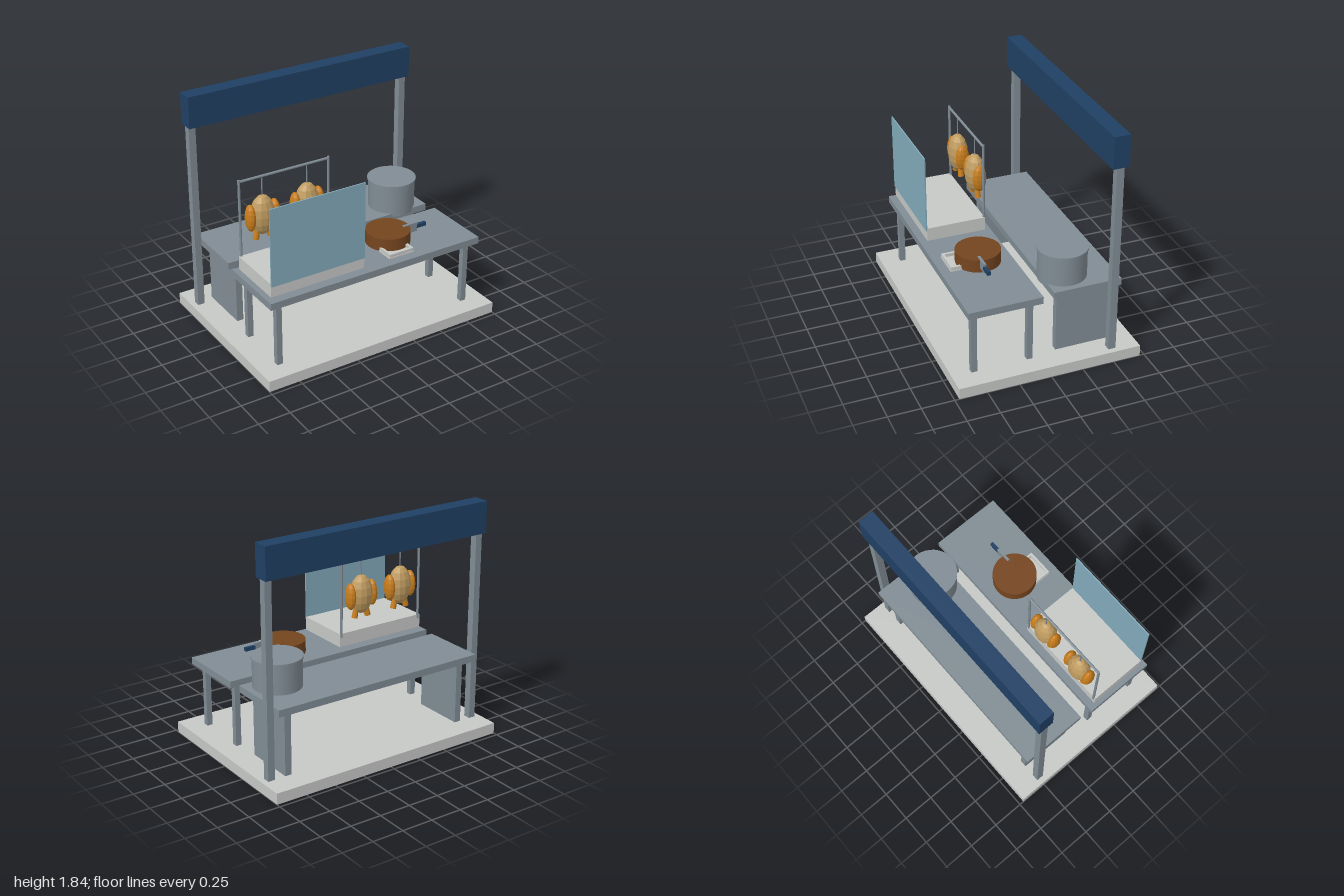
import * as THREE from 'three';

const mat = (name, color, flatShading = false) => {
  const m = new THREE.MeshStandardMaterial({ color, flatShading });
  m.name = name;
  return m;
};

export function createModel() {
  const stone = mat('pale stone', 0xc6c8c6);
  const steel = mat('grey steel', 0x808c94);
  const navy = mat('navy', 0x204064);
  const glass = mat('blue glass', 0x82aaba);
  const wood = mat('brown wood', 0x75451f);
  const skin = mat('roast tan', 0xc09c60, true);
  const glaze = mat('glazed orange', 0xc87d1c, true);

  const root = new THREE.Group();
  root.name = 'foodStall';

  const add = (parent, name, geometry, material, x, y, z) => {
    const mesh = new THREE.Mesh(geometry, material);
    mesh.name = name;
    mesh.position.set(x, y, z);
    parent.add(mesh);
    return mesh;
  };
  // Box given by its minimum and maximum on each axis
  const box = (name, material, [x0, x1], [y0, y1], [z0, z1], parent = root) =>
    add(parent, name, new THREE.BoxGeometry(x1 - x0, y1 - y0, z1 - z0), material,
      (x0 + x1) / 2, (y0 + y1) / 2, (z0 + z1) / 2);
  // Upright cylinder between two heights
  const drum = (name, material, r, y0, y1, x, z, sides = 32, parent = root) =>
    add(parent, name, new THREE.CylinderGeometry(r, r, y1 - y0, sides), material, x, (y0 + y1) / 2, z);
  const mirrored = (x0, x1, s) => (s > 0 ? [x0, x1] : [-x1, -x0]);

  // Floor, sign and the two tables
  box('floorSlab', stone, [-1, 1], [0, 0.087], [-0.715, 0.715]);
  box('signBoard', navy, [-0.965, 0.965], [1.595, 1.842], [-0.565, -0.44]);
  box('frontTableTop', steel, [-0.912, 0.912], [0.59, 0.645], [0.036, 0.606]);
  box('backTableTop', steel, [-0.892, 0.892], [0.59, 0.645], [-0.588, -0.057]);
  for (const s of [-1, 1]) {
    box('signPost', steel, mirrored(0.9, 0.955, s), [0.087, 1.6], [-0.533, -0.475]);
    box('backTablePanel', steel, mirrored(0.757, 0.81, s), [0.087, 0.59], [-0.53, -0.11]);
    for (const z of [0.11, 0.542]) {
      box('frontTableLeg', steel, mirrored(0.802, 0.847, s), [0.087, 0.59], [z - 0.0225, z + 0.0225]);
    }
  }

  // Display tray with its glass screen
  box('displayTray', stone, [-0.88, -0.1], [0.663, 0.77], [0.09, 0.556]);
  box('glassScreen', glass, [-0.88, -0.1], [0.748, 1.36], [0.554, 0.564]);

  // Hanging rack
  const rackZ = 0.092;
  for (const x of [-0.86, -0.117]) drum('rackPost', steel, 0.01, 0.74, 1.38, x, rackZ, 12);
  const rail = drum('rackRail', steel, 0.01, 0, 0.745, -0.488, rackZ, 12);
  rail.rotation.z = Math.PI / 2;
  rail.position.y = 1.366;

  // Roast birds on hooks
  const ball = new THREE.SphereGeometry(1, 12, 8);
  for (const x of [-0.675, -0.302]) {
    const bird = new THREE.Group();
    bird.name = 'roastBird';
    bird.position.set(x, 1.06, rackZ);
    root.add(bird);
    drum('hook', steel, 0.005, 0.14, 0.306, 0, 0, 8, bird);
    add(bird, 'body', ball, skin, 0, 0, 0).scale.set(0.096, 0.157, 0.078);
    for (const s of [-1, 1]) {
      add(bird, 'wing', ball, glaze, s * 0.1, -0.005, 0).scale.set(0.038, 0.107, 0.056);
      const leg = add(bird, 'drumstick', new THREE.CylinderGeometry(0.02, 0.025, 0.1, 10), glaze,
        s * 0.052, -0.135, 0);
      leg.rotation.z = s * 0.2;
    }
  }

  // Stock pot with lid
  drum('stockPot', steel, 0.184, 0.62, 0.872, 0.664, -0.215);
  drum('potLid', steel, 0.193, 0.87, 0.884, 0.664, -0.215);

  // Chopping block and cleaver
  drum('choppingBlock', wood, 0.172, 0.653, 0.755, 0.285, 0.295);
  box('cleaverBlade', steel, [0.4, 0.525], [0.69, 0.763], [0.321, 0.341]);
  box('cleaverHandle', navy, [0.52, 0.605], [0.715, 0.744], [0.318, 0.344]);

  // Small serving dish with a raised rim
  box('dishBase', stone, [0.14, 0.36], [0.648, 0.658], [0.39, 0.535]);
  for (const x of [0.143, 0.337]) box('dishSide', stone, [x, x + 0.02], [0.65, 0.683], [0.395, 0.532]);
  for (const z of [0.395, 0.512]) box('dishEnd', stone, [0.163, 0.337], [0.65, 0.683], [z, z + 0.02]);

  return root;
}
